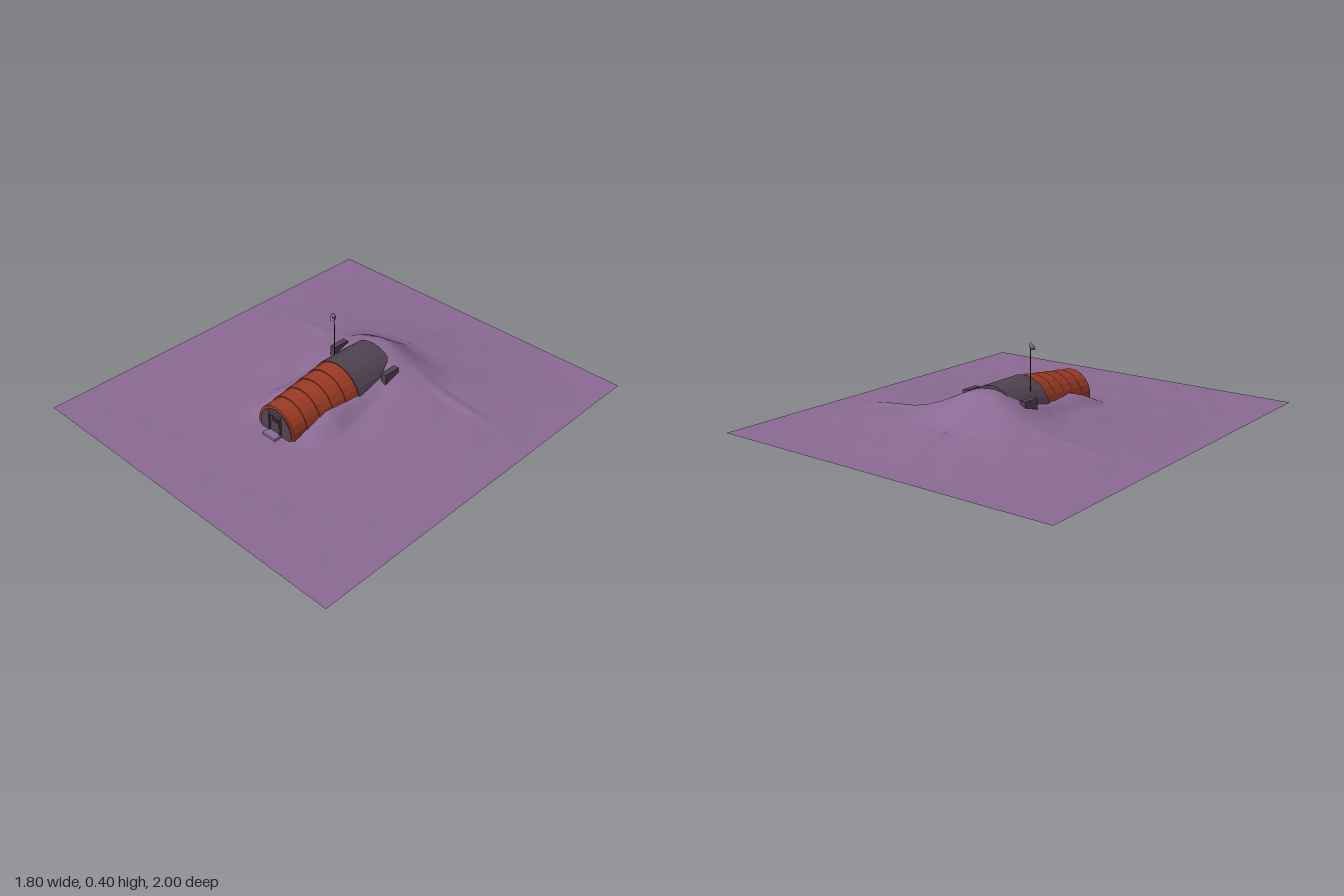
import * as THREE from 'three';

const mat = (name, color, extra = {}) => {
  const m = new THREE.MeshStandardMaterial({ color, ...extra });
  m.name = name;
  return m;
};

// Linear lookup in a short list of [position, value] pairs
function lookup(table, t) {
  if (t <= table[0][0]) return table[0][1];
  for (let i = 1; i < table.length; i++) {
    const [a, va] = table[i - 1], [b, vb] = table[i];
    if (t <= b) {
      const k = (t - a) / (b - a);
      return va + (vb - va) * k;
    }
  }
  return table[table.length - 1][1];
}

const hillFall = [[0, 0.2], [0.04, 0.193], [0.1, 0.15], [0.15, 0.11], [0.2, 0.077], [0.25, 0.059],
  [0.35, 0.043], [0.45, 0.03], [0.55, 0.021], [0.75, 0.011], [1, 0.01]];
const bankHeight = [[-0.3, 0.13], [-0.1, 0.11], [0, 0.09], [0.1, 0.085], [0.22, 0.09], [0.3, 0.065],
  [0.4, 0.02], [0.5, 0.004], [0.6, 0]];

// Ground height: a hill behind the hut, banks along its sides, ridges and ripples
function groundHeight(x, z) {
  const dz = z + 0.27;
  const hill = lookup(hillFall, Math.hypot(x / 1.6, dz > 0 ? dz / 1.4 : dz));
  const ax = Math.abs(x);
  const side = Math.exp(-(((ax - 0.13) / (ax > 0.13 ? 0.1 : 0.08)) ** 2));
  const bank = z > -0.3 ? 0.012 + lookup(bankHeight, z) * side : 0;
  const backRidge = 0.012 * Math.exp(-((x / 0.02) ** 2) - (((z + 0.55) / 0.17) ** 2));
  const sideRidge = 0.012 * Math.exp(-(((z + 0.3) / 0.02) ** 2) - (((ax - 0.45) / 0.2) ** 2)) * (x > 0 ? 1 : 0.5);
  const edge = Math.min(1, (0.9 - ax) * 5, (1 - Math.abs(z)) * 5);
  const ripple = 0.0025 * (Math.sin(x * 13 + z * 5) * Math.sin(z * 11 - x * 4) + 0.4 * Math.sin(x * 27 - z * 19));
  let h = Math.max(hill, bank) + backRidge + sideRidge + ripple;
  if (ax < 0.12 && z > -0.12) h = Math.min(h, 0.1);
  if (ax < 0.1 && z > 0.3) h = Math.min(h, 0.02);
  return 0.01 + Math.max(0, h - 0.01) * edge;
}

// Arched section with a flat underside at height y = 0.012
function archShape(r, cy, bottom = 0.012) {
  const a0 = -Math.asin(Math.min(1, (cy - bottom) / r));
  const pts = [];
  for (let i = 0; i <= 14; i++) {
    const a = a0 + (Math.PI - 2 * a0) * i / 14;
    pts.push(new THREE.Vector2(Math.cos(a) * r, cy + Math.sin(a) * r));
  }
  return new THREE.Shape(pts);
}

// Solid arch from z0 to z1, narrowed a little at its front end
function archBlock(r, cy, z0, z1, taper = 1) {
  const g = new THREE.ExtrudeGeometry(archShape(r, cy), { depth: z1 - z0, bevelEnabled: false });
  const p = g.attributes.position;
  for (let i = 0; i < p.count; i++) {
    if (p.getZ(i) > (z1 - z0) / 2) {
      p.setX(i, p.getX(i) * taper);
      p.setY(i, 0.012 + (p.getY(i) - 0.012) * taper);
    }
  }
  g.translate(0, 0, z0);
  g.computeVertexNormals();
  return g;
}

export function createModel() {
  const model = new THREE.Group();
  model.name = 'hillsideHut';
  const soil = mat('purple soil', 0x8a6a93, { side: THREE.DoubleSide });
  const rust = mat('rust panels', 0x9a3a24, { flatShading: true });
  const slate = mat('dark slate', 0x504350, { flatShading: true });
  const yellow = mat('yellow floor', 0xd2be08);
  const dark = mat('near black', 0x2c262d);

  const add = (name, geometry, material, x = 0, y = 0, z = 0, parent = model) => {
    const m = new THREE.Mesh(geometry, material);
    m.name = name;
    m.position.set(x, y, z);
    parent.add(m);
    return m;
  };
  const box = (w, h, d) => new THREE.BoxGeometry(w, h, d);

  // Ground sheet
  const ground = new THREE.PlaneGeometry(1.8, 2, 108, 120).rotateX(-Math.PI / 2);
  const p = ground.attributes.position;
  for (let i = 0; i < p.count; i++) p.setY(i, groundHeight(p.getX(i), p.getZ(i)));
  ground.computeVertexNormals();
  add('ground', ground, soil);

  // Telescoping tunnel of five panelled rings
  const rings = new THREE.Group();
  rings.name = 'tunnel';
  model.add(rings);
  for (let i = 0; i < 5; i++) {
    const z1 = 0.41 - i * 0.078;
    const r = 0.117 + i * 0.0068;
    add('tunnelRing', archBlock(r, 0.05 + i * 0.003, z1 - 0.078, z1, 0.975), rust, 0, 0, 0, rings);
  }

  // Rear hall and its lower back wall
  add('rearHall', archBlock(0.153, 0.058, -0.225, 0.022), slate);
  const wall = new THREE.Shape([[-0.143, 0.014], [0.143, 0.014], [0.147, 0.06], [0.115, 0.1], [-0.115, 0.1], [-0.147, 0.06]]
    .map(([x, y]) => new THREE.Vector2(x, y)));
  add('backWall', new THREE.ExtrudeGeometry(wall, { depth: 0.004, bevelEnabled: false }), rust, 0, 0, -0.229);
  for (const s of [-1, 1]) {
    add('sideButtress', box(0.03, 0.1, 0.09), slate, s * 0.166, 0.11, -0.165);
  }

  // Floor, widening to the rear
  const floor = new THREE.Shape([[-0.092, -0.41], [0.092, -0.41], [0.125, 0.19], [-0.125, 0.19]]
    .map(([x, y]) => new THREE.Vector2(x, y)));
  const floorGeometry = new THREE.ExtrudeGeometry(floor, { depth: 0.011, bevelEnabled: false }).rotateX(-Math.PI / 2);
  add('floor', floorGeometry, yellow);

  // Front wall with framed door and step
  add('frontWall', new THREE.ExtrudeGeometry(archShape(0.1, 0.048, 0.02), { depth: 0.006, bevelEnabled: false }), slate, 0, 0, 0.409);
  for (const s of [-1, 1]) add('doorPost', box(0.008, 0.095, 0.012), slate, s * 0.034, 0.077, 0.419);
  add('doorLintel', box(0.076, 0.008, 0.012), slate, 0, 0.125, 0.419);
  add('door', box(0.054, 0.082, 0.004), slate, 0, 0.073, 0.417);
  add('doorWindow', box(0.034, 0.018, 0.002), dark, 0, 0.098, 0.42);
  add('doorStep', box(0.08, 0.018, 0.045), soil, 0, 0.024, 0.4375);

  // Aerial mast and tilted dish
  add('mast', new THREE.CylinderGeometry(0.002, 0.002, 0.21, 6), dark, -0.105, 0.265, -0.07);
  const dish = new THREE.Group();
  dish.name = 'dish';
  dish.position.set(-0.107, 0.375, -0.068);
  dish.rotation.set(1.1, 0, 0.35);
  model.add(dish);
  const bowl = [[0, -0.007], [0.01, -0.005], [0.017, 0], [0.021, 0.007]].map(([x, y]) => new THREE.Vector2(x, y));
  add('dishBowl', new THREE.LatheGeometry(bowl, 16), soil, 0, 0, 0, dish);
  add('dishFeed', new THREE.CylinderGeometry(0.0015, 0.0015, 0.016, 6), dark, 0, 0.002, 0, dish);

  return model;
}
